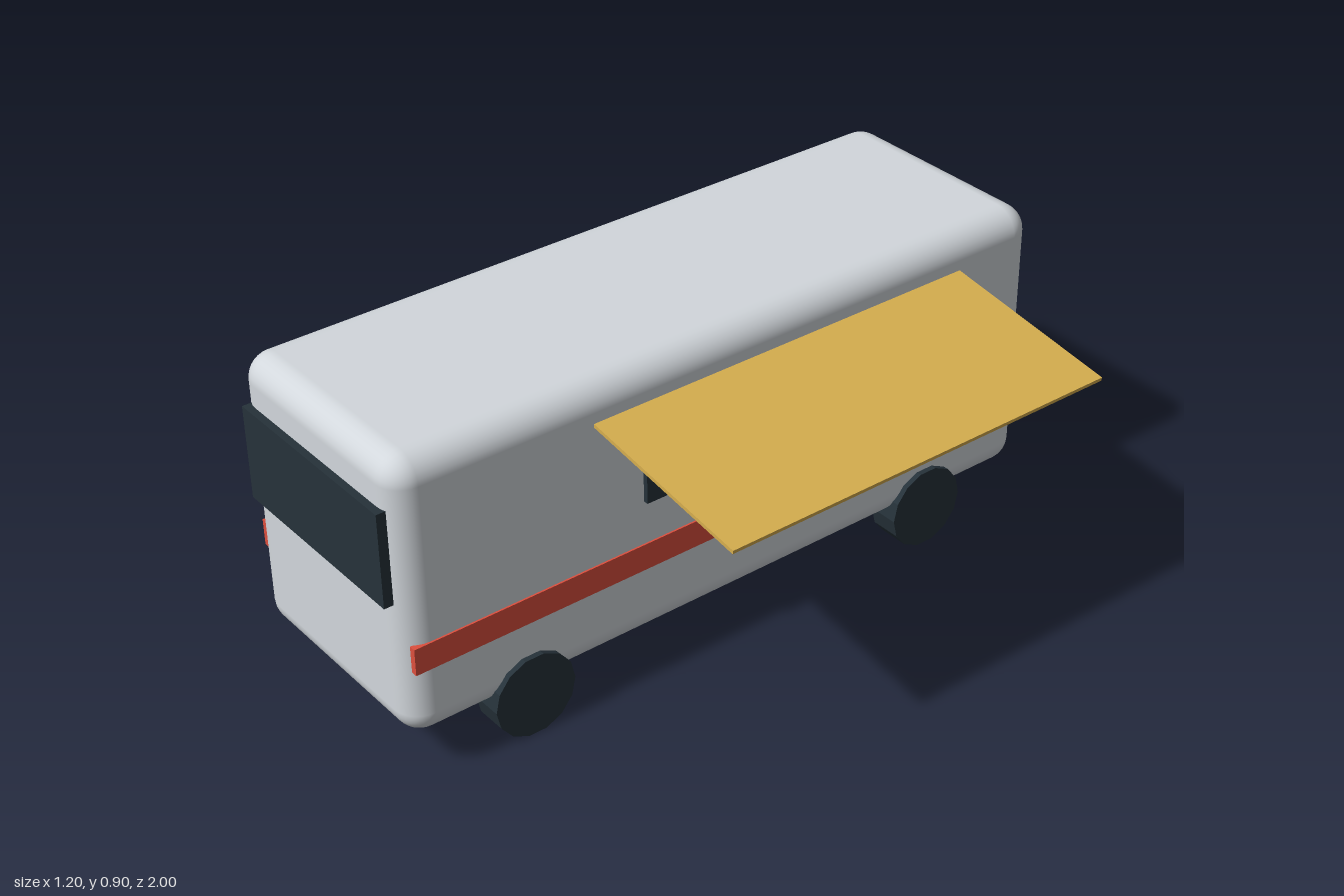
import * as THREE from 'three';
import { RoundedBoxGeometry } from 'three/addons/geometries/RoundedBoxGeometry.js';

const material = (name, color, flatShading = false) => {
  const m = new THREE.MeshStandardMaterial({ color });
  m.name = name;
  m.flatShading = flatShading;
  return m;
};

export function createModel() {
  const group = new THREE.Group();
  group.name = 'camperVan';

  const shell = material('shell grey', 0xd2d7dc);
  const dark = material('dark glass and rubber', 0x26323a, true);
  const red = material('stripe red', 0xdd4f3e);
  const canvas = material('awning ochre', 0xd6ae4e);

  const add = (name, geometry, mat, x, y, z) => {
    const mesh = new THREE.Mesh(geometry, mat);
    mesh.name = name;
    mesh.position.set(x, y, z);
    group.add(mesh);
    return mesh;
  };

  const centre = -0.25; // the body sits off-centre to make room for the awning

  // Rounded body shell
  add('body', new RoundedBoxGeometry(0.67, 0.78, 1.98, 4, 0.07), shell, centre, 0.51, -0.01);

  // Windscreen
  add('windscreen', new THREE.BoxGeometry(0.585, 0.26, 0.04), dark, centre, 0.64, 0.98);

  // Two windows under the awning
  for (const z of [0.14, -0.443]) {
    add('sideWindow', new THREE.BoxGeometry(0.03, 0.175, 0.293), dark, 0.084, 0.612, z);
  }

  // Stripes and wheels, mirrored about the body's centre line
  const wheel = new THREE.CylinderGeometry(0.117, 0.117, 0.087, 14).rotateZ(Math.PI / 2);
  for (const side of [-1, 1]) {
    add('stripe', new THREE.BoxGeometry(0.018, 0.075, 1.93), red, centre + side * 0.331, 0.363, -0.007);
    for (const z of [0.635, -0.65]) {
      add('wheel', wheel, dark, centre + side * 0.307, 0.114, z);
    }
  }

  // Sloping awning
  const awning = add('awning', new THREE.BoxGeometry(0.517, 0.01, 1.165), canvas, 0.339, 0.758, -0.155);
  awning.rotation.z = -0.152;

  return group;
}
